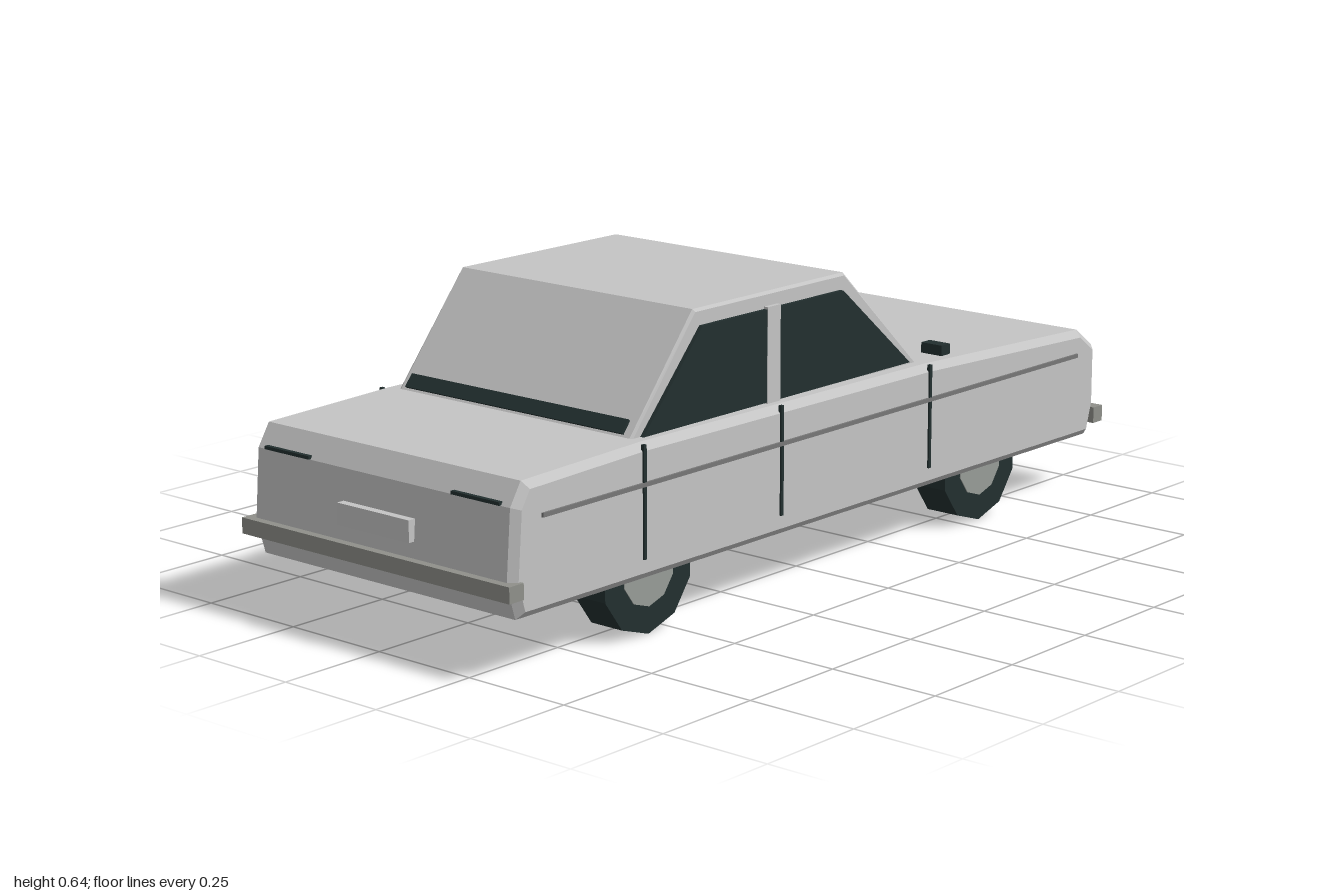
import * as THREE from 'three';

const mat = (name, color) => Object.assign(new THREE.MeshStandardMaterial({ color }), { name });

export function createModel() {
  const paint = mat('body grey', 0xc4c4c4);
  const dark = mat('glass and rubber', 0x222f2f);
  const metal = mat('bumper grey', 0x8f908a);
  const trim = mat('trim grey', 0x787878);
  const hubGrey = mat('hub grey', 0x989c98);

  const car = new THREE.Group();
  car.name = 'sedan';
  car.position.z = -0.017;

  const add = (name, geo, material, x = 0, y = 0, z = 0) => {
    const m = new THREE.Mesh(geo, material);
    m.name = name;
    m.position.set(x, y, z);
    car.add(m);
    return m;
  };
  // box given by its extents along each axis
  const box = (name, material, [x0, x1], [y0, y1], [z0, z1]) =>
    add(name, new THREE.BoxGeometry(x1 - x0, y1 - y0, z1 - z0), material,
      (x0 + x1) / 2, (y0 + y1) / 2, (z0 + z1) / 2);
  // side profile extruded from z0 to z1, with an optional chamfer
  const slab = (name, material, points, z0, z1, bevel = 0) => {
    const shape = new THREE.Shape(points.map(p => new THREE.Vector2(...p)));
    const geo = new THREE.ExtrudeGeometry(shape, {
      depth: z1 - z0 - 2 * bevel, bevelEnabled: bevel > 0, bevelSegments: 1,
      bevelSize: bevel, bevelThickness: bevel, bevelOffset: -bevel,
    });
    return add(name, geo, material, 0, 0, z0 + bevel);
  };
  const flatCylinder = (r, width, sides) => {
    const geo = new THREE.CylinderGeometry(r, r, width, sides).rotateX(Math.PI / 2).toNonIndexed();
    geo.computeVertexNormals();
    return geo;
  };

  // lower body and cabin
  slab('body', paint, [
    [-0.96, 0.125], [0.95, 0.125], [0.972, 0.2], [0.972, 0.335], [0.91, 0.38],
    [0.33, 0.402], [-0.6, 0.408], [-0.94, 0.398], [-0.97, 0.35], [-0.982, 0.2],
  ], -0.37, 0.37, 0.016);
  slab('cabin', paint, [
    [-0.61, 0.39], [0.345, 0.39], [0.08, 0.64], [-0.405, 0.64],
  ], -0.329, 0.329, 0.006);

  // lower glass strips at the front and rear of the cabin
  slab('windshieldStrip', dark, [
    [0.324, 0.413], [0.329, 0.418], [0.301, 0.444], [0.296, 0.439],
  ], -0.306, 0.306);
  slab('rearWindowStrip', dark, [
    [-0.594, 0.413], [-0.574, 0.438], [-0.579, 0.442], [-0.6, 0.417],
  ], -0.306, 0.306);

  // parts repeated on both sides
  const rearGlass = [[-0.57, 0.408], [-0.185, 0.408], [-0.185, 0.605], [-0.39, 0.605]];
  const frontGlass = [[-0.145, 0.408], [0.3, 0.408], [0.065, 0.605], [-0.145, 0.605]];
  for (const s of [1, -1]) {
    const span = (a, b) => (s > 0 ? [a, b] : [-b, -a]);
    slab('rearSideWindow', dark, rearGlass, ...span(0.329, 0.338));
    slab('frontSideWindow', dark, frontGlass, ...span(0.329, 0.338));
    box('doorPillar', paint, [-0.186, -0.144], [0.405, 0.61], span(0.326, 0.339));
    for (const x of [-0.605, -0.178, 0.33])
      box('doorGap', dark, [x - 0.004, x + 0.004], [0.17, x > 0 ? 0.402 : 0.406], span(0.366, 0.374));
    box('sideStripe', trim, [-0.9, 0.89], [0.32, 0.329], span(0.366, 0.375));
    box('tailLight', dark, [-0.975, -0.962], [0.351, 0.358], span(0.2, 0.33));

    // thin arched rim over each headlight
    const rim = add('headlightRim', new THREE.TorusGeometry(0.03, 0.0015, 4, 5, Math.PI),
      trim, 0.972, 0.291, s * 0.294);
    rim.rotation.y = Math.PI / 2;
    rim.scale.y = 0.5;

    for (const x of [-0.565, 0.555]) {
      add('tire', flatCylinder(0.135, 0.083, 10), dark, x, 0.135, s * 0.303);
      add('hub', flatCylinder(0.077, 0.087, 10), hubGrey, x, 0.135, s * 0.303);
    }
  }

  // front and rear fittings
  box('grilleLine', trim, [0.968, 0.975], [0.304, 0.31], [-0.247, 0.247]);
  box('frontBumper', metal, [0.955, 0.99], [0.153, 0.19], [-0.378, 0.378]);
  box('rearBumper', metal, [-1, -0.96], [0.17, 0.204], [-0.378, 0.378]);
  box('frontPlate', paint, [0.99, 0.998], [0.102, 0.155], [-0.101, 0.101]);
  box('rearPlate', paint, [-0.993, -0.975], [0.238, 0.284], [-0.101, 0.101]);

  // single wing mirror
  box('wingMirror', dark, [0.315, 0.345], [0.43, 0.453], [0.357, 0.412]);

  const model = new THREE.Group();
  model.name = 'car';
  model.add(car);
  return model;
}
